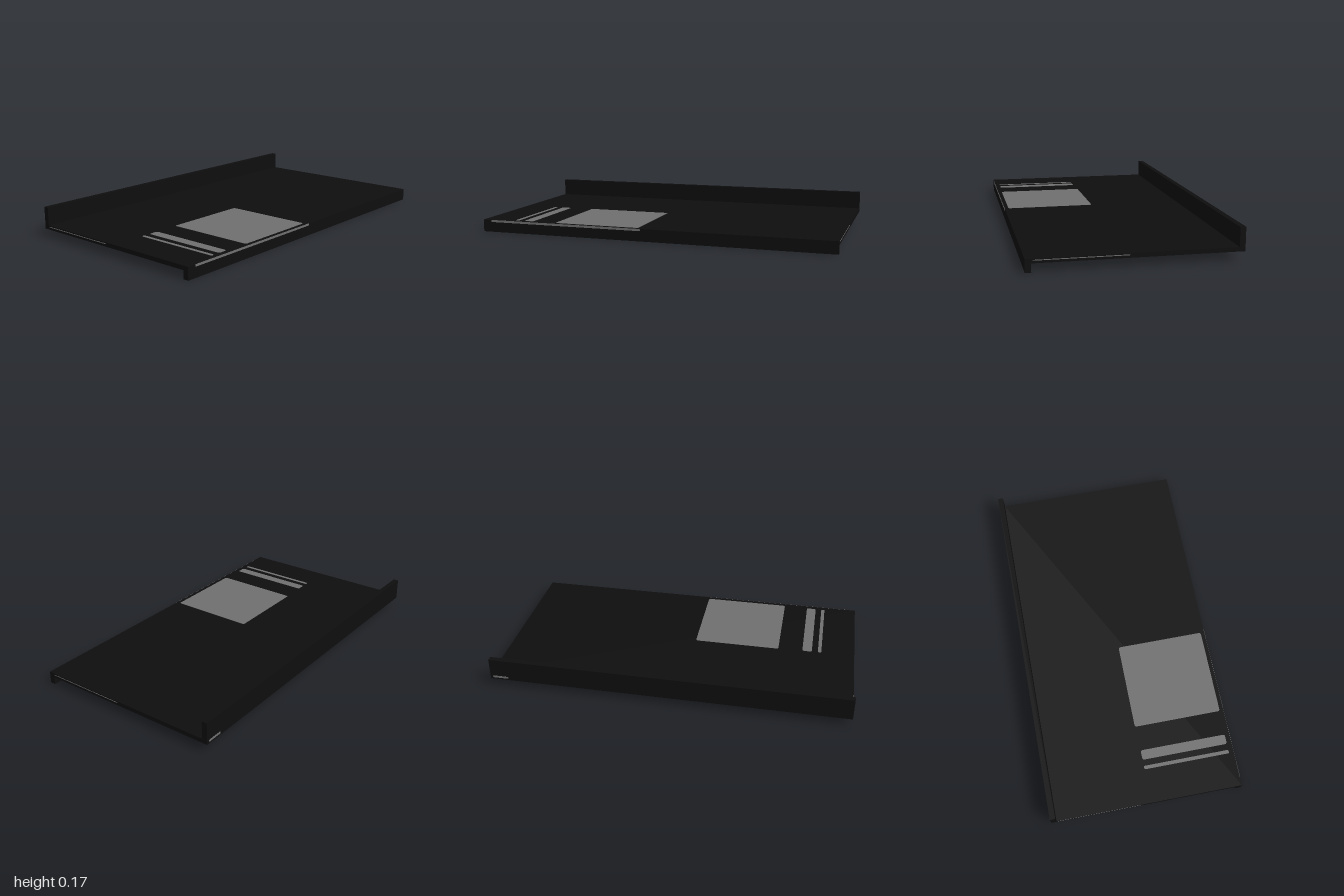
import * as THREE from 'three';

const LENGTH = 1.998, T = 0.001; // panel length, inlay thickness
const black = new THREE.MeshStandardMaterial({ name: 'black', color: 0x0e0e0e });
const grey = new THREE.MeshStandardMaterial({ name: 'grey', color: 0x6e6e6e });

// Flat inlay with softened corners, centred on its own origin and facing +z
function inlay(name, w, h) {
  const r = Math.min(0.012, h * 0.4), x = w / 2, y = h / 2;
  const s = new THREE.Shape();
  s.moveTo(-x + r, -y);
  s.lineTo(x - r, -y);
  s.quadraticCurveTo(x, -y, x, -y + r);
  s.lineTo(x, y - r);
  s.quadraticCurveTo(x, y, x - r, y);
  s.lineTo(-x + r, y);
  s.quadraticCurveTo(-x, y, -x, y - r);
  s.lineTo(-x, -y + r);
  s.quadraticCurveTo(-x, -y, -x + r, -y);
  const geometry = new THREE.ExtrudeGeometry(s, { depth: T, bevelEnabled: false, curveSegments: 3 });
  const mesh = new THREE.Mesh(geometry, grey);
  mesh.name = name;
  return mesh;
}

export function createModel() {
  const model = new THREE.Group();
  model.name = 'flangedPanel';

  // Z-shaped panel: raised lip on -x, lowered lip on +x
  const profile = new THREE.Shape([
    [-0.54, 0.045], [0.51, 0.045], [0.51, 0], [0.54, 0],
    [0.54, 0.068], [-0.51, 0.068], [-0.51, 0.168], [-0.54, 0.168],
  ].map(([x, y]) => new THREE.Vector2(x, y)));
  const panelGeometry = new THREE.ExtrudeGeometry(profile, { depth: LENGTH, bevelEnabled: false });
  panelGeometry.translate(0, 0, -LENGTH / 2);
  const panel = new THREE.Mesh(panelGeometry, black);
  panel.name = 'panel';
  model.add(panel);

  // Large square and two stripes, repeated on the top and underside
  const marks = [['square', 0.07, 0.56], ['wideStripe', 0.70, 0.755], ['narrowStripe', 0.79, 0.81]];
  for (const [name, z0, z1] of marks) {
    const width = name === 'square' ? 0.50 : 0.49;
    const top = inlay(name + 'Top', width, z1 - z0);
    top.rotation.x = -Math.PI / 2;
    top.position.set(0.268, 0.068, (z0 + z1) / 2);
    const bottom = inlay(name + 'Bottom', width, z1 - z0);
    bottom.rotation.x = Math.PI / 2;
    bottom.position.set(-0.268, 0.045, (z0 + z1) / 2);
    model.add(top, bottom);
  }

  // Fine lines along the edges
  const edges = [
    ['frontLine', 0.465, 0.004, -0.27, 0.06, LENGTH / 2, 0],
    ['backLine', 0.465, 0.004, 0.27, 0.06, -LENGTH / 2, Math.PI],
    ['leftLine', 0.9, 0.012, 0.54, 0.062, 0.5, Math.PI / 2],
    ['rightLine', 0.09, 0.012, -0.54, 0.06, -0.94, -Math.PI / 2],
  ];
  for (const [name, w, h, x, y, z, turn] of edges) {
    const line = inlay(name, w, h);
    line.position.set(x, y, z);
    line.rotation.y = turn;
    model.add(line);
  }
  return model;
}
